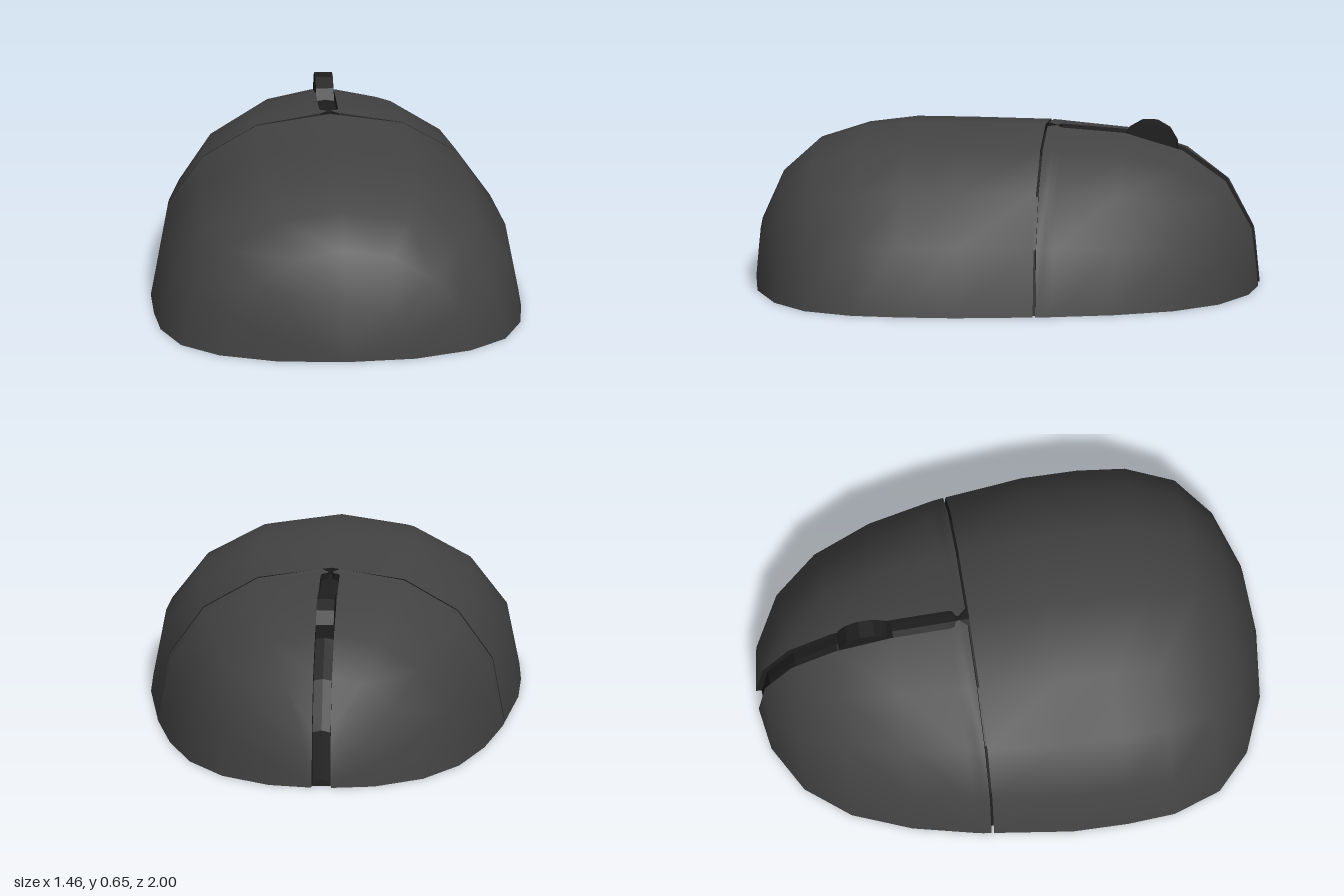
import * as THREE from 'three';
import { mergeVertices } from 'three/addons/utils/BufferGeometryUtils.js';

const shellMat = new THREE.MeshStandardMaterial({ color: 0x444444 });
const darkMat = new THREE.MeshStandardMaterial({ color: 0x1e1e1e, side: THREE.DoubleSide, flatShading: true });

// Stations along the length: z, half width, height, half width of the wheel slot
const FRONT = [
  [-1, 0.04, 0.03, 0.0375], [-0.975, 0.21, 0.235, 0.0375], [-0.87, 0.4, 0.425, 0.0375],
  [-0.7, 0.535, 0.545, 0.0375], [-0.47, 0.625, 0.612, 0.0375], [-0.23, 0.679, 0.629, 0.0375],
  [-0.215, 0.682, 0.63, 0.033], [-0.205, 0.684, 0.631, 0.012], [-0.195, 0.686, 0.632, 0.008],
  [-0.162, 0.69, 0.634, 0.036],
];
const REAR = [
  [-0.152, 0.691, 0.635], [0.16, 0.73, 0.635], [0.38, 0.73, 0.635], [0.57, 0.715, 0.61],
  [0.76, 0.645, 0.55], [0.89, 0.5, 0.43], [0.975, 0.275, 0.235], [1, 0, 0],
];

// Squarish arch in the middle, rounder towards both ends
const power = (h) => 0.9 + 0.12 * Math.min(1, (0.635 - h) / 0.25);

function archPoint([z, w, h], t) {
  const e = power(h), c = Math.cos(t);
  return new THREE.Vector3(
    Math.sign(c) * w * Math.abs(c) ** e, h * Math.max(0, Math.sin(t)) ** e, z);
}

// Full arch from the left side to the right
const fullArch = (s) => Array.from({ length: 9 }, (_, i) => archPoint(s, i * Math.PI / 8));

// Half arch that stops at the edge of the wheel slot
function halfArch(s, side) {
  const end = Math.acos((s[3] / s[1]) ** (1 / power(s[2])));
  return Array.from({ length: 5 }, (_, i) => {
    const p = archPoint(s, i === 4 ? end : Math.min(end, i * Math.PI / 8));
    p.x *= side;
    return p;
  });
}

const inward = (p) => new THREE.Vector3(p.x * 0.955, p.y * 0.955, p.z * 0.978);

// Surface through rows of points
function loft(rows, flip = false) {
  const n = rows[0].length, index = [];
  for (let r = 0; r < rows.length - 1; r++) {
    for (let c = 0; c < n - 1; c++) {
      const a = r * n + c, b = a + 1, d = a + n, e = d + 1;
      index.push(...(flip ? [a, d, b, b, d, e] : [a, b, d, b, e, d]));
    }
  }
  let geo = new THREE.BufferGeometry().setFromPoints(rows.flat());
  geo.setIndex(index);
  geo = mergeVertices(geo, 1e-5);
  geo.computeVertexNormals();
  return geo;
}

// Outer skin with a dark edge of the shell's thickness
function panel(name, rows, flip) {
  const group = new THREE.Group();
  group.name = name;
  const skin = new THREE.Mesh(loft(rows, flip), shellMat);
  skin.name = name + 'Skin';
  const last = rows.length - 1, n = rows[0].length;
  const rim = [
    ...rows[0],
    ...rows.map((r) => r[n - 1]),
    ...[...rows[last]].reverse(),
    ...rows.map((r) => r[0]).reverse(),
  ];
  const edge = new THREE.Mesh(loft([rim, rim.map(inward)]), darkMat);
  edge.name = name + 'Edge';
  group.add(skin, edge);
  return group;
}

export function createModel() {
  const model = new THREE.Group();
  model.name = 'computerMouse';

  // Palm rest and the two buttons
  model.add(panel('palmRest', REAR.map(fullArch)));
  for (const side of [1, -1]) {
    model.add(panel(side > 0 ? 'leftButton' : 'rightButton',
      FRONT.map((s) => halfArch(s, side)), side < 0));
  }

  // Inner body seen through the seam and the slot
  const stations = [...FRONT, ...REAR];
  const core = new THREE.Mesh(loft(stations.map((s) => fullArch(s).map(inward))), darkMat);
  core.name = 'innerBody';
  model.add(core);

  // Flat underside
  const base = new THREE.Mesh(loft(stations.map(([z, w]) =>
    [new THREE.Vector3(-w, 0, z), new THREE.Vector3(w, 0, z)].map(inward))), darkMat);
  base.name = 'underside';
  model.add(base);

  // Scroll wheel, one flat on top
  const wheelGeo = new THREE.CylinderGeometry(0.114, 0.114, 0.07, 12);
  wheelGeo.rotateY(Math.PI / 12).rotateZ(Math.PI / 2);
  const wheel = new THREE.Mesh(wheelGeo, darkMat);
  wheel.name = 'scrollWheel';
  wheel.position.set(0, 0.543, -0.565);
  model.add(wheel);

  return model;
}
